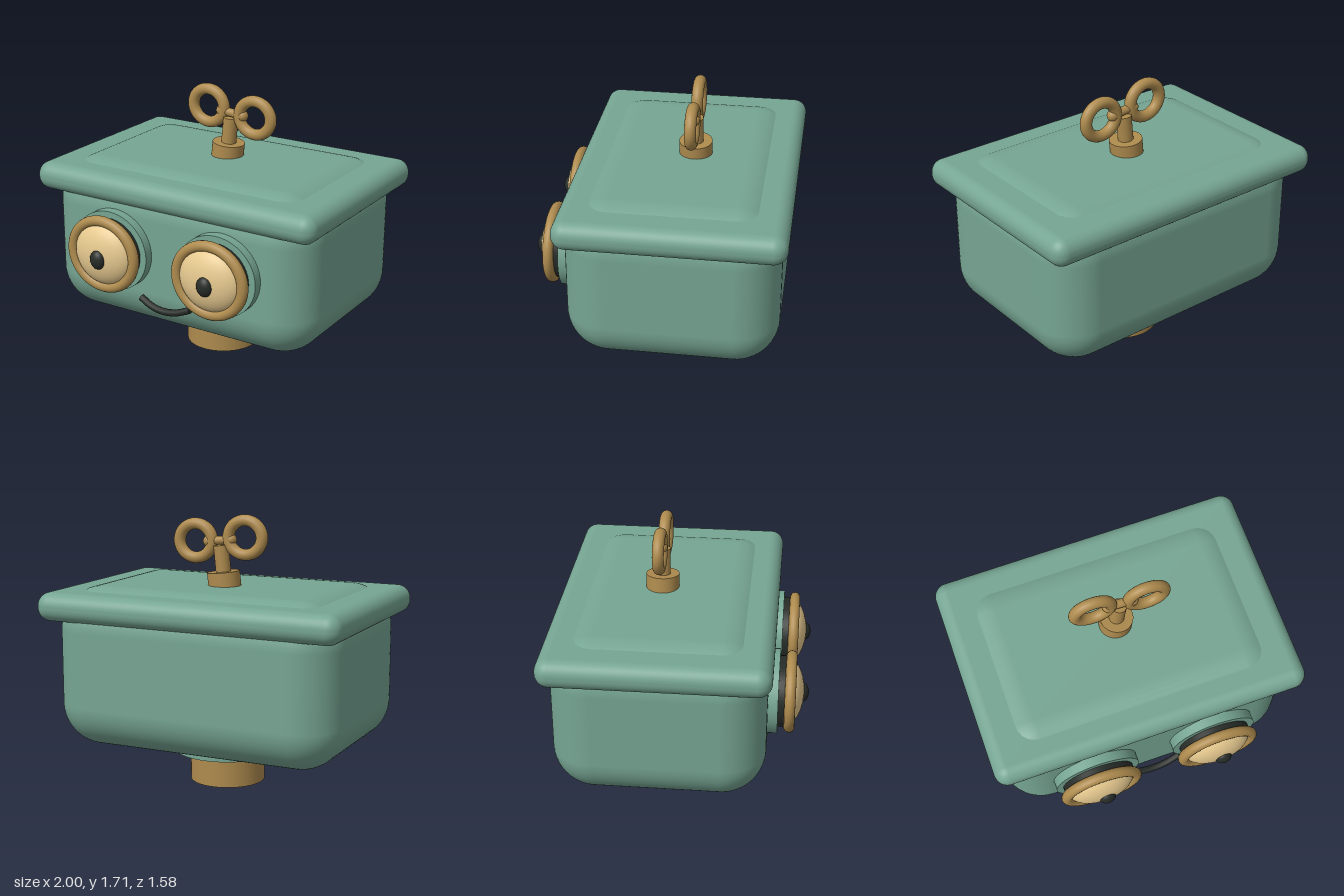
import * as THREE from 'three';
import { RoundedBoxGeometry } from 'three/addons/geometries/RoundedBoxGeometry.js';

const mat = (color) => new THREE.MeshStandardMaterial({ color });

export function createModel() {
  const model = new THREE.Group();
  model.name = 'windUpRobotHead';
  const teal = mat(0x76a593);
  const brass = mat(0xae8b4e);
  const cream = mat(0xe6c98f);
  const dark = mat(0x272c28);

  const add = (parent, name, geometry, material, x = 0, y = 0, z = 0) => {
    const mesh = new THREE.Mesh(geometry, material);
    mesh.name = name;
    mesh.position.set(x, y, z);
    parent.add(mesh);
    return mesh;
  };
  const group = (name, x, y, z) => {
    const g = new THREE.Group();
    g.name = name;
    g.position.set(x, y, z);
    model.add(g);
    return g;
  };

  // Head: its rounded top rises a little through the lid
  add(model, 'head', new RoundedBoxGeometry(1.88, 1.01, 1.3, 8, 0.27), teal, 0, 0.755, -0.1);
  add(model, 'lid', new RoundedBoxGeometry(2, 0.18, 1.37, 6, 0.085), teal, 0, 1.143, -0.105);

  // Neck
  add(model, 'neckCollar', new THREE.CylinderGeometry(0.337, 0.337, 0.1, 64), teal, 0, 0.245, -0.1);
  add(model, 'neckPost', new THREE.CylinderGeometry(0.237, 0.237, 0.22, 64), brass, 0, 0.11, -0.1);

  // Eyes: slightly wide ovals, both pupils glancing the same way
  for (const [side, x] of [['right', -0.388], ['left', 0.388]]) {
    const eye = group(side + 'Eye', x, 0.769, 0);
    eye.scale.x = 1.06;
    const disc = (name, r, back, front, material) => {
      const geo = new THREE.CylinderGeometry(r, r, front - back, 48).rotateX(Math.PI / 2);
      return add(eye, name, geo, material, 0, 0, (front + back) / 2);
    };
    disc('eyeSocket', 0.257, 0.5, 0.61, teal);
    disc('eyeGasket', 0.216, 0.6, 0.665, dark);
    add(eye, 'eyeRim', new THREE.TorusGeometry(0.216, 0.033, 16, 64), brass, 0, 0, 0.68);
    const ball = add(eye, 'eyeball', new THREE.SphereGeometry(1, 40, 28), cream, 0, 0, 0.655);
    ball.scale.set(0.203, 0.203, 0.108);
    const pupil = add(eye, 'pupil', new THREE.SphereGeometry(1, 24, 18), dark, 0.012, -0.009, 0.752);
    pupil.scale.set(0.05, 0.062, 0.04);
  }

  // Mouth: a bent tube with flat ends
  const smile = new THREE.CatmullRomCurve3([
    [-0.18, 0.488, 0.575], [-0.09, 0.454, 0.588], [0, 0.442, 0.592],
    [0.09, 0.454, 0.588], [0.18, 0.488, 0.575],
  ].map((p) => new THREE.Vector3(...p)));
  add(model, 'mouth', new THREE.TubeGeometry(smile, 32, 0.022, 12), dark);
  for (const t of [0, 1]) {
    const p = smile.getPointAt(t);
    const cap = add(model, 'mouthEnd', new THREE.CircleGeometry(0.022, 12), dark, p.x, p.y, p.z);
    cap.lookAt(p.clone().addScaledVector(smile.getTangentAt(t), t ? 1 : -1));
  }

  // Wind-up key, leaning a little to its left
  const key = group('windUpKey', -0.005, 1.23, -0.147);
  key.rotation.z = -0.1;
  add(key, 'keyBase', new THREE.CylinderGeometry(0.103, 0.103, 0.17, 48), brass, 0, 0.03, 0);
  add(key, 'keyStem', new THREE.CylinderGeometry(0.048, 0.048, 0.24, 32), brass, 0, 0.16, 0);
  add(key, 'keyCrossbar', new THREE.CapsuleGeometry(0.027, 0.16, 8, 20).rotateZ(Math.PI / 2), brass, 0.005, 0.31, 0);
  for (const s of [-1, 1]) {
    const loop = add(key, 'keyLoop', new THREE.TorusGeometry(0.107, 0.036, 16, 48), brass, 0.001 + s * 0.171, 0.318, 0);
    loop.scale.x = 1.06;
    add(key, 'keyKnuckle', new THREE.SphereGeometry(0.036, 20, 14), brass, 0.005 + s * 0.078, 0.31, 0);
  }
  return model;
}
